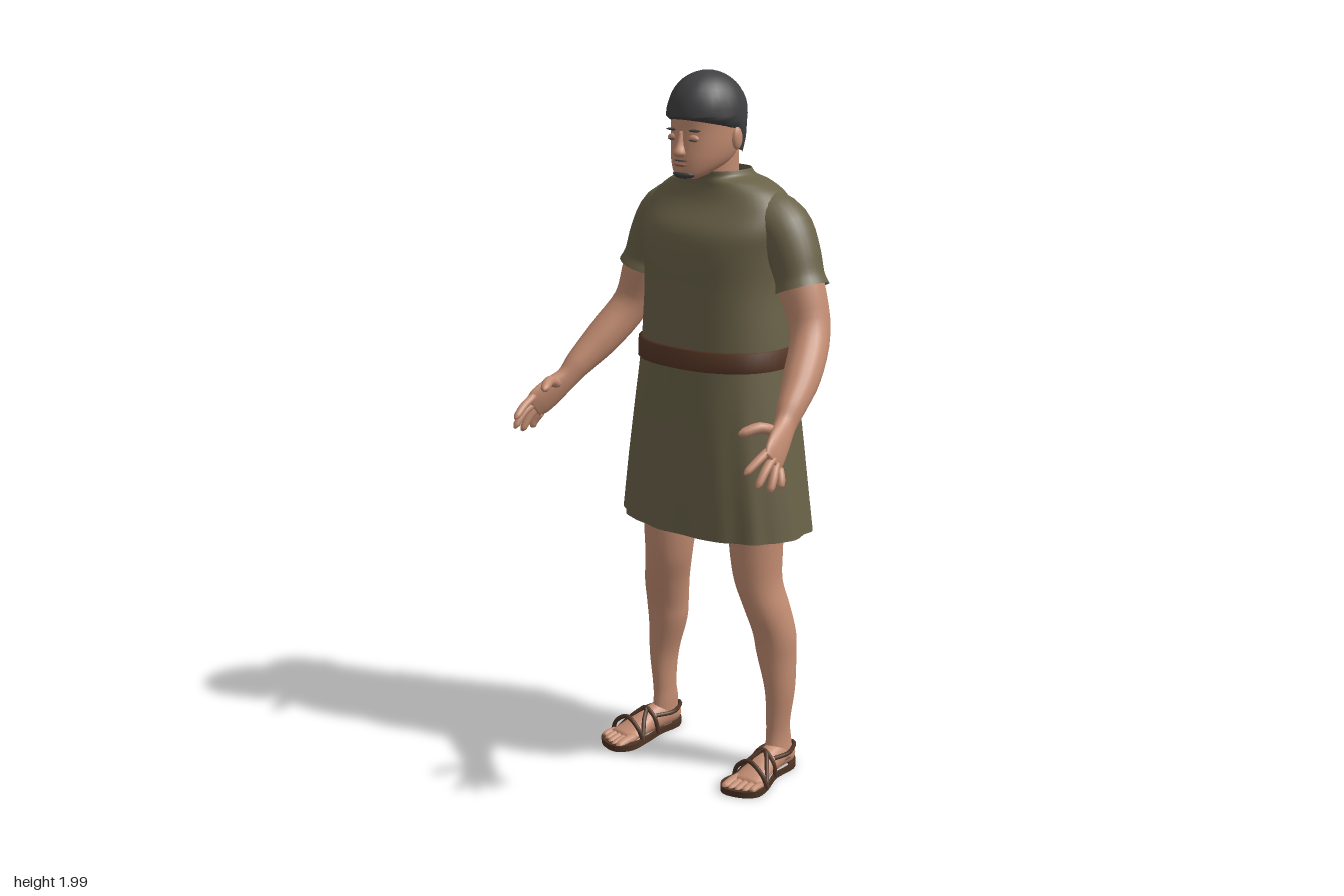
import * as THREE from 'three';
import { mergeVertices } from 'three/addons/utils/BufferGeometryUtils.js';

const V = (x, y, z) => new THREE.Vector3(x, y, z);
const paint = (name, color, side = THREE.FrontSide) => {
  const m = new THREE.MeshStandardMaterial({ color, side });
  m.name = name;
  return m;
};

// Skin a row of sections [x, y, z, radiusU, radiusV]; ref is the U direction.
// upright keeps every section horizontal (sections run from bottom to top).
function loft(sections, { n = 20, sub = 4, ref = V(1, 0, 0), upright = false, power = 2, cap = true, ripple } = {}) {
  const path = new THREE.CatmullRomCurve3(sections.map(s => V(s[0], s[1], s[2])));
  const radii = new THREE.CatmullRomCurve3(sections.map(s => V(s[3], s[4], 0)), false, 'catmullrom');
  const rows = (sections.length - 1) * sub;
  const pos = [], idx = [];
  const pw = v => Math.sign(v) * Math.abs(v) ** (2 / power);
  for (let i = 0; i <= rows; i++) {
    const f = i / rows, c = path.getPoint(f), r = radii.getPoint(f);
    const t = upright ? V(0, 1, 0) : path.getTangent(f);
    const u = ref.clone().addScaledVector(t, -ref.dot(t)).normalize();
    const v = u.clone().cross(t);
    for (let j = 0; j < n; j++) {
      const a = j / n * Math.PI * 2, k = ripple ? ripple(a, f) : 1;
      const p = c.clone()
        .addScaledVector(u, pw(Math.cos(a)) * Math.max(r.x, 0.001) * k)
        .addScaledVector(v, pw(Math.sin(a)) * Math.max(r.y, 0.001) * k);
      pos.push(p.x, p.y, p.z);
      if (i < rows) {
        const A = i * n + j, B = i * n + (j + 1) % n;
        idx.push(A, A + n, B, B, A + n, B + n);
      }
    }
  }
  if (cap) {
    const s = path.getPoint(0), e = path.getPoint(1), k = pos.length / 3, top = rows * n;
    pos.push(s.x, s.y, s.z, e.x, e.y, e.z);
    for (let j = 0; j < n; j++) {
      const m = (j + 1) % n;
      idx.push(k, j, m, k + 1, top + m, top + j);
    }
  }
  const g = new THREE.BufferGeometry();
  g.setAttribute('position', new THREE.Float32BufferAttribute(pos, 3));
  g.setIndex(idx);
  g.computeVertexNormals();
  return g;
}

// Horizontal sections [y, halfWidth, zBack, zFront, xCentre]
const stack = (rows, opt = {}) => loft(
  rows.map(([y, rx, zb, zf, x = 0]) => [x, y, (zb + zf) / 2, rx, (zf - zb) / 2]), { upright: true, ...opt });

// Rounded finger or toe through points
const digit = (pts, r) => {
  const [a, b, c] = pts.map(p => V(...p)), q = b.clone().lerp(c, 0.75);
  return loft([[a, r], [b, r], [q, r * 0.85], [c, r * 0.3]].map(([p, k]) => [p.x, p.y, p.z, k, k]), { n: 10, sub: 3 });
};

const blob = (x, y, z, sx, sy, sz) => new THREE.SphereGeometry(1, 16, 10).scale(sx, sy, sz).translate(x, y, z);

function mirrored(geo) {
  const g = mergeVertices(geo.clone());
  g.scale(-1, 1, 1);
  const ix = g.index.array;
  for (let i = 0; i < ix.length; i += 3) [ix[i], ix[i + 1]] = [ix[i + 1], ix[i]];
  return g;
}

// Short hair: a dome that continues down to an edge, low at the nape
function hairCap() {
  const g0 = new THREE.SphereGeometry(1, 40, 20, 0, Math.PI * 2, 0, 3);
  g0.deleteAttribute('uv');
  g0.deleteAttribute('normal');
  const g = mergeVertices(g0), p = g.attributes.position;
  for (let i = 0; i < p.count; i++) {
    const t = Math.acos(THREE.MathUtils.clamp(p.getY(i), -1, 1)) / 3;
    const a = Math.atan2(p.getX(i), p.getZ(i)), f = Math.cos(a);
    const edge = 1.85 + 0.025 * Math.max(f, 0) - 0.07 * THREE.MathUtils.smoothstep(-f, 0.1, 0.6);
    const s = Math.max(0, t * 2 - 1);
    let r = t < 0.5 ? Math.sin(Math.PI * t) : 1 - 0.12 * s * s;
    const y = t < 0.5 ? 1.885 + 0.115 * Math.cos(Math.PI * t) : THREE.MathUtils.lerp(1.885, edge, s);
    r *= 1 + 0.014 * Math.sin(9 * a + 14 * t) * Math.sin(Math.PI * t);
    p.setXYZ(i, Math.sin(a) * 0.1 * r, y, -0.047 + f * 0.122 * r);
  }
  g.computeVertexNormals();
  return g;
}

// Sandal sole: a rim following the outline of the foot
function soleRim() {
  const pts = [[0.222, -0.18], [0.26, -0.14], [0.265, -0.05], [0.295, 0.03], [0.3, 0.08], [0.27, 0.112],
    [0.21, 0.125], [0.176, 0.09], [0.177, 0.02], [0.188, -0.06], [0.186, -0.14]];
  const outline = k => new THREE.CatmullRomCurve3(
    pts.map(([x, z]) => V(0.235 + (x - 0.235) * k, -0.03 + (z + 0.03) * k, 0)), true)
    .getPoints(40).slice(0, 40).map(p => new THREE.Vector2(p.x, p.y));
  const shape = new THREE.Shape(outline(1));
  shape.holes.push(new THREE.Path(outline(0.8)));
  return new THREE.ExtrudeGeometry(shape, { depth: 0.018, bevelEnabled: false })
    .rotateX(Math.PI / 2).translate(0, 0.024, 0);
}

export function createModel() {
  const model = new THREE.Group();
  const skin = paint('skin', 0xc48d72);
  const lips = paint('lips', 0x9a6253);
  const hair = paint('hair', 0x404042, THREE.DoubleSide);
  const cloth = paint('olive cloth', 0x6a6248, THREE.DoubleSide);
  const leather = paint('belt leather', 0x573726, THREE.DoubleSide);
  const strapping = paint('sandal leather', 0x4c3324);

  const add = (name, geo, mat) => {
    const m = new THREE.Mesh(geo, mat);
    m.name = name;
    model.add(m);
  };
  const pair = (name, geo, mat) => {
    add(name + 'Left', geo, mat);
    add(name + 'Right', mirrored(geo), mat);
  };

  // Head and face
  add('neck', stack([[1.6, 0.075, -0.16, -0.01], [1.7, 0.064, -0.15, -0.01], [1.8, 0.066, -0.15, 0]]), skin);
  add('head', stack([[1.717, 0.025, 0.005, 0.05], [1.728, 0.046, -0.03, 0.064], [1.76, 0.072, -0.11, 0.067],
    [1.8, 0.085, -0.145, 0.064], [1.85, 0.089, -0.155, 0.06], [1.9, 0.089, -0.155, 0.06],
    [1.95, 0.078, -0.14, 0.04], [1.985, 0.03, -0.08, -0.01]], { n: 32 }), skin);
  add('nose', stack([[1.776, 0.012, 0.045, 0.074], [1.787, 0.019, 0.045, 0.086],
    [1.81, 0.011, 0.04, 0.076], [1.845, 0.008, 0.03, 0.063]], { n: 14 }), skin);
  add('mouth', blob(0, 1.756, 0.061, 0.023, 0.006, 0.011), lips);
  add('moustache', blob(0, 1.767, 0.06, 0.024, 0.003, 0.0095), hair);
  add('chinBeard', blob(0, 1.729, 0.046, 0.036, 0.012, 0.024), hair);
  pair('eyelid', blob(0.036, 1.826, 0.05, 0.017, 0.01, 0.01), skin);
  pair('lashes', blob(0.036, 1.822, 0.052, 0.015, 0.0025, 0.01), hair);
  pair('eyebrow', blob(0.038, 1.847, 0.05, 0.021, 0.0035, 0.009), hair);
  pair('ear', blob(0.089, 1.822, -0.067, 0.011, 0.031, 0.019), skin);
  add('hair', hairCap(), hair);

  // Tunic
  add('tunicTop', stack([[1.215, 0.23, -0.262, 0.078], [1.3, 0.224, -0.26, 0.076], [1.42, 0.215, -0.258, 0.075],
    [1.52, 0.223, -0.256, 0.074], [1.58, 0.232, -0.25, 0.06], [1.64, 0.225, -0.237, 0.018],
    [1.68, 0.19, -0.224, 0], [1.705, 0.145, -0.208, -0.004], [1.718, 0.1, -0.195, -0.002],
    [1.735, 0.088, -0.185, 0.004]], { n: 48, power: 2.25, cap: false }), cloth);
  pair('sleeve', loft([[0.13, 1.61, -0.118, 0.09, 0.085], [0.205, 1.585, -0.118, 0.085, 0.08],
    [0.25, 1.52, -0.114, 0.077, 0.072], [0.275, 1.46, -0.11, 0.072, 0.065],
    [0.286, 1.43, -0.108, 0.08, 0.071]], { n: 28, ref: V(0, 0, 1), cap: false }), cloth);
  add('skirt', stack([[0.73, 0.298, -0.287, 0.1], [0.9, 0.274, -0.285, 0.1], [1.05, 0.252, -0.278, 0.094],
    [1.215, 0.228, -0.262, 0.08]], {
    n: 96, power: 2.3, cap: false,
    ripple: (a, f) => 1 + (1 - f) * (0.014 * Math.sin(12 * a) + 0.008 * Math.sin(19 * a + 1)),
  }), cloth);
  add('belt', stack([[1.2, 0.222, -0.255, 0.072], [1.203, 0.236, -0.275, 0.092], [1.256, 0.234, -0.273, 0.09],
    [1.259, 0.22, -0.255, 0.072]], { n: 48, sub: 1, power: 2.25, cap: false }), leather);

  // Arms with hands reaching slightly forward
  pair('arm', loft([[0.23, 1.56, -0.115, 0.06, 0.065], [0.285, 1.43, -0.108, 0.062, 0.064],
    [0.325, 1.32, -0.095, 0.053, 0.058], [0.365, 1.22, -0.01, 0.05, 0.053], [0.39, 1.15, 0.07, 0.037, 0.041],
    [0.4, 1.115, 0.105, 0.027, 0.036], [0.415, 1.085, 0.145, 0.022, 0.044],
    [0.43, 1.056, 0.185, 0.016, 0.047], [0.438, 1.038, 0.207, 0.01, 0.04]]), skin);
  [
    [[0.43, 1.074, 0.21], [0.428, 1.055, 0.25], [0.42, 1.026, 0.295]],
    [[0.436, 1.053, 0.2], [0.443, 1.028, 0.24], [0.445, 0.99, 0.275]],
    [[0.438, 1.036, 0.19], [0.45, 1.005, 0.215], [0.456, 0.972, 0.236]],
    [[0.438, 1.018, 0.175], [0.452, 0.996, 0.186], [0.458, 0.974, 0.195]],
  ].forEach((p, i) => pair('finger' + (i + 1), digit(p, 0.0115), skin));
  pair('thumb', digit([[0.405, 1.1, 0.135], [0.385, 1.122, 0.19], [0.357, 1.11, 0.243]], 0.015), skin);

  // Legs and feet
  pair('leg', stack([[0.04, 0.032, -0.165, -0.06, 0.224], [0.1, 0.029, -0.16, -0.068, 0.219],
    [0.15, 0.03, -0.152, -0.07, 0.22], [0.25, 0.04, -0.162, -0.065, 0.223], [0.36, 0.056, -0.174, -0.055, 0.208],
    [0.42, 0.06, -0.174, -0.045, 0.204], [0.5, 0.062, -0.163, -0.02, 0.19], [0.58, 0.065, -0.15, -0.003, 0.17],
    [0.66, 0.071, -0.155, 0.006, 0.163], [0.74, 0.077, -0.162, 0.012, 0.16],
    [0.95, 0.1, -0.19, 0.03, 0.135]], { n: 24 }), skin);
  pair('foot', loft([[0.222, 0.034, -0.172, 0.012, 0.012], [0.222, 0.042, -0.15, 0.03, 0.03],
    [0.223, 0.052, -0.1, 0.033, 0.041], [0.228, 0.046, -0.04, 0.036, 0.036],
    [0.236, 0.033, 0.02, 0.046, 0.023], [0.242, 0.026, 0.065, 0.047, 0.013]]), skin);
  for (let i = 0; i < 5; i++) {
    const x = 0.204 + i * 0.02, end = 0.12 - i * i * 0.0019, r = i ? 0.01 : 0.014;
    pair('toe' + (i + 1), digit([[x, 0.027, 0.045], [x + 0.001, 0.026, 0.08], [x + 0.002, 0.02, end]], r), skin);
  }

  // Sandals
  pair('sandalSole', soleRim(), strapping);
  [
    [[0.176, 0.018, 0.035], [0.192, 0.055, 0.04], [0.235, 0.083, 0.04], [0.28, 0.058, 0.04], [0.301, 0.018, 0.035]],
    [[0.182, 0.018, -0.04], [0.195, 0.065, -0.036], [0.23, 0.09, -0.035], [0.262, 0.06, -0.036], [0.27, 0.018, -0.04]],
    [[0.182, 0.018, 0.03], [0.205, 0.065, 0], [0.23, 0.089, -0.035], [0.268, 0.055, 0], [0.292, 0.018, 0.03]],
    [[0.195, 0.07, -0.04], [0.182, 0.065, -0.11], [0.222, 0.065, -0.178], [0.262, 0.065, -0.11], [0.26, 0.07, -0.04]],
  ].forEach((p, i) => pair('sandalStrap' + (i + 1),
    new THREE.TubeGeometry(new THREE.CatmullRomCurve3(p.map(q => V(...q))), 24, 0.0065, 8), strapping));

  return model;
}
